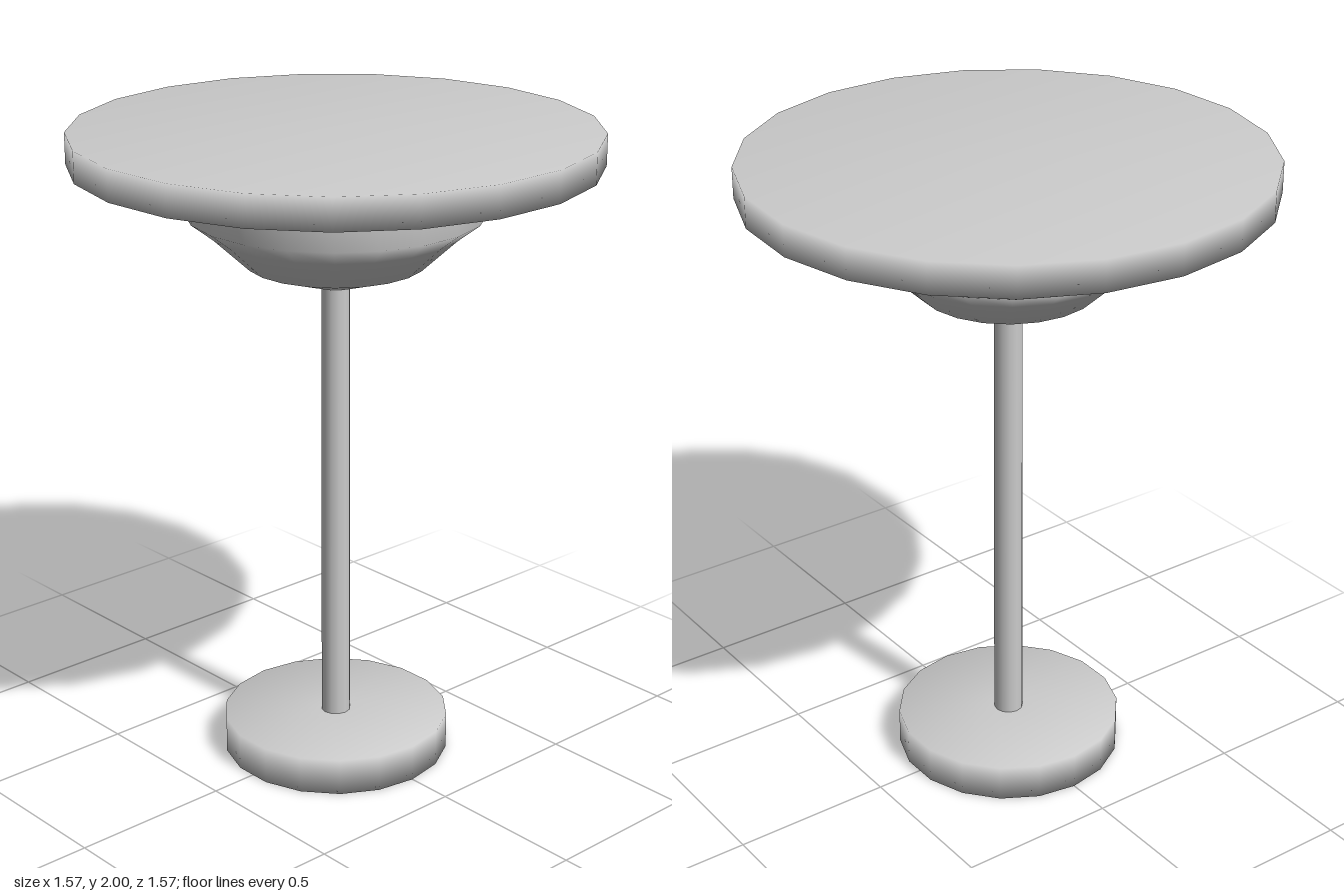
import * as THREE from 'three';

const material = new THREE.MeshStandardMaterial({ color: 0xcccccc, side: THREE.DoubleSide });

// Smooth turned part from a [radius, height] profile, listed bottom to top
function turned(name, sides, profile) {
  const points = profile.map(([r, y]) => new THREE.Vector2(r, y));
  const mesh = new THREE.Mesh(new THREE.LatheGeometry(points, sides, -Math.PI / 2), material);
  mesh.name = name;
  return mesh;
}

export function createModel() {
  const table = new THREE.Group();
  table.name = 'pedestalTable';
  table.add(
    // Round foot with softly shaded rim
    turned('foot', 18, [[0, 0], [0.355, 0], [0.355, 0.115], [0.035, 0.115]]),
    // Slim column
    turned('stem', 12, [[0.046, 0.11], [0.043, 1.53]]),
    // Flared bowl under the top
    turned('bowl', 21, [[0.04, 1.52], [0.27, 1.597], [0.38, 1.7], [0.447, 1.752], [0.423, 1.907]]),
    // Table top, its underside open where the bowl meets it
    turned('tableTop', 21, [[0.41, 1.905], [0.787, 1.905], [0.787, 2], [0, 2]])
  );
  return table;
}
